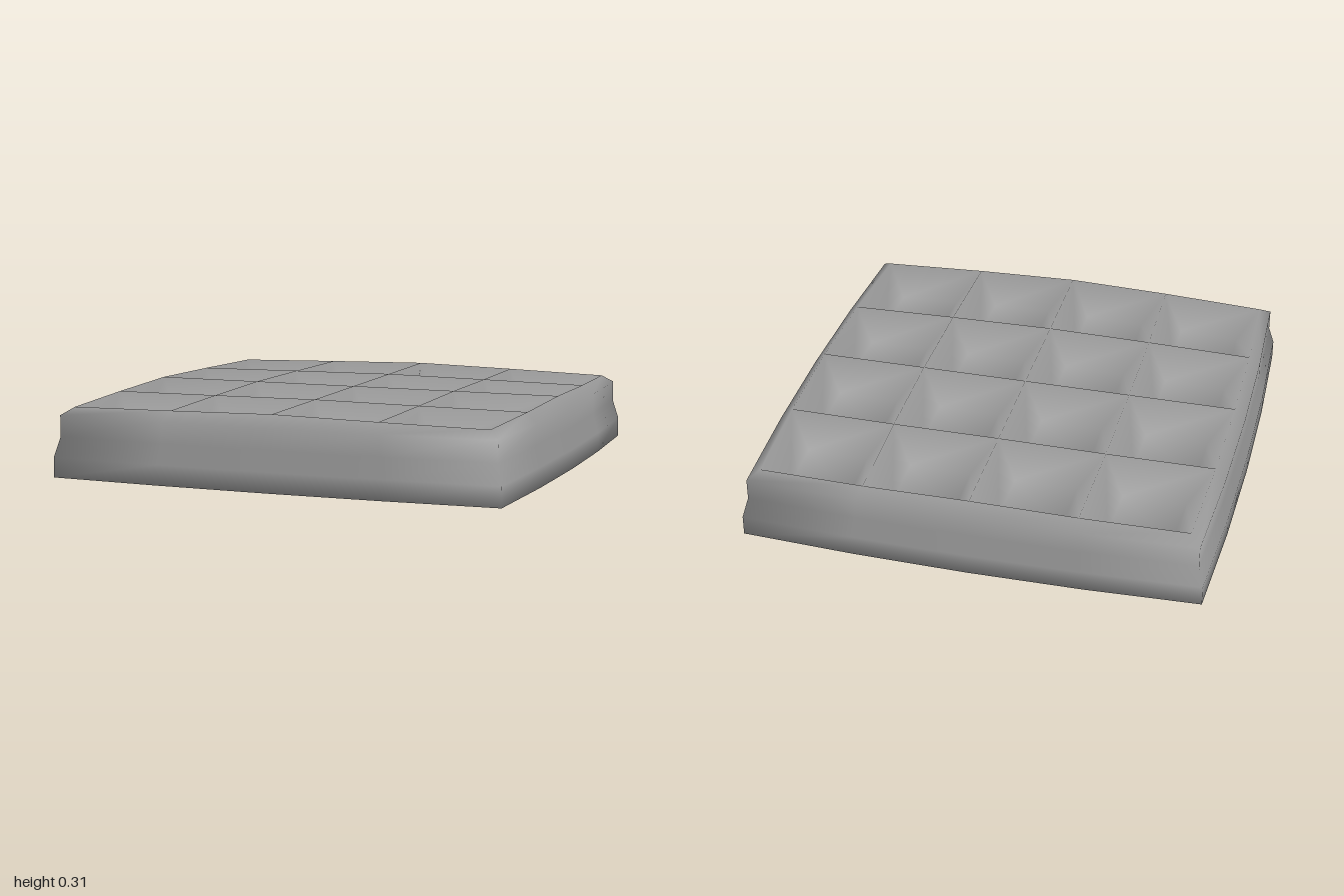
import * as THREE from 'three';
import { mergeVertices } from 'three/addons/utils/BufferGeometryUtils.js';

const CELLS = 4, TOP = 0.93, FLOOR = 0.58, DEPTH = 0.13;

// Side wall from the bottom edge upwards: [half-size, height]
const WALL = [[1.0, 0.0], [1.0, 0.085], [0.977, 0.17], [0.977, 0.26]];

// Point of the unit square on a slightly bulging square of half-size s
function place(u, v, s, y) {
  return [u * s * (1 - 0.03 * v * v), y, v * s * (1 - 0.03 * u * u)];
}

const unit = (i) => (2 * i) / CELLS - 1;

// Crown of the ribs, highest in the middle; drop lowers it to a pocket floor
function topPoint(i, j, drop = 0) {
  const u = unit(i), v = unit(j);
  return place(u, v, TOP, 0.31 - 0.018 * Math.abs(u * v) - drop);
}

function wallPoint(i, j, k) {
  if (k === WALL.length) return topPoint(i, j);
  return place(unit(i), unit(j), ...WALL[k]);
}

// Smooth normals, each face weighted by its angle at the vertex
function smoothNormals(geometry) {
  const p = geometry.attributes.position, index = geometry.index;
  const sums = Array.from({ length: p.count }, () => new THREE.Vector3());
  for (let t = 0; t < index.count; t += 3) {
    const ids = [0, 1, 2].map((k) => index.getX(t + k));
    const pts = ids.map((id) => new THREE.Vector3().fromBufferAttribute(p, id));
    const normal = new THREE.Triangle(...pts).getNormal(new THREE.Vector3());
    ids.forEach((id, k) => {
      const a = pts[(k + 1) % 3].clone().sub(pts[k]);
      const b = pts[(k + 2) % 3].clone().sub(pts[k]);
      sums[id].addScaledVector(normal, a.angleTo(b));
    });
  }
  const normals = sums.flatMap((n) => n.normalize().toArray());
  geometry.setAttribute('normal', new THREE.Float32BufferAttribute(normals, 3));
}

function buildSlab() {
  const pos = [];
  const quad = (a, b, c, d) => pos.push(...a, ...b, ...c, ...a, ...c, ...d);
  const square = [[0, 0], [0, 1], [1, 1], [1, 0]];

  for (let i = 0; i < CELLS; i++) {
    for (let j = 0; j < CELLS; j++) {
      // Pocket: four sloping walls running from the ribs to a flat floor
      const rim = square.map(([a, b]) => topPoint(i + a, j + b));
      const inset = (t) => 0.5 + (t - 0.5) * FLOOR;
      const floor = square.map(([a, b]) => topPoint(i + inset(a), j + inset(b), DEPTH));
      quad(...floor);
      for (let k = 0; k < 4; k++) {
        const n = (k + 1) % 4;
        quad(rim[k], rim[n], floor[n], floor[k]);
      }

      // Underside, split across the corners of the slab
      const base = square.map(([a, b]) => wallPoint(i + a, j + b, 0)).reverse();
      if ((i < CELLS / 2) === (j < CELLS / 2)) quad(...base);
      else quad(base[1], base[2], base[3], base[0]);
    }
  }

  // Perimeter walls
  const loop = [];
  for (let i = 0; i < CELLS; i++) loop.push([i, CELLS]);
  for (let j = CELLS; j > 0; j--) loop.push([CELLS, j]);
  for (let i = CELLS; i > 0; i--) loop.push([i, 0]);
  for (let j = 0; j < CELLS; j++) loop.push([0, j]);
  loop.forEach((a, n) => {
    const b = loop[(n + 1) % loop.length];
    for (let k = 0; k < WALL.length; k++) {
      quad(wallPoint(...a, k), wallPoint(...b, k), wallPoint(...b, k + 1), wallPoint(...a, k + 1));
    }
  });

  const raw = new THREE.BufferGeometry();
  raw.setAttribute('position', new THREE.Float32BufferAttribute(pos, 3));
  const geometry = mergeVertices(raw, 1e-4);
  smoothNormals(geometry);
  return geometry;
}

export function createModel() {
  const group = new THREE.Group();
  group.name = 'waffle';
  const slab = new THREE.Mesh(buildSlab(), new THREE.MeshStandardMaterial({ color: 0x999999 }));
  slab.name = 'pocketedSlab';
  group.add(slab);
  return group;
}
